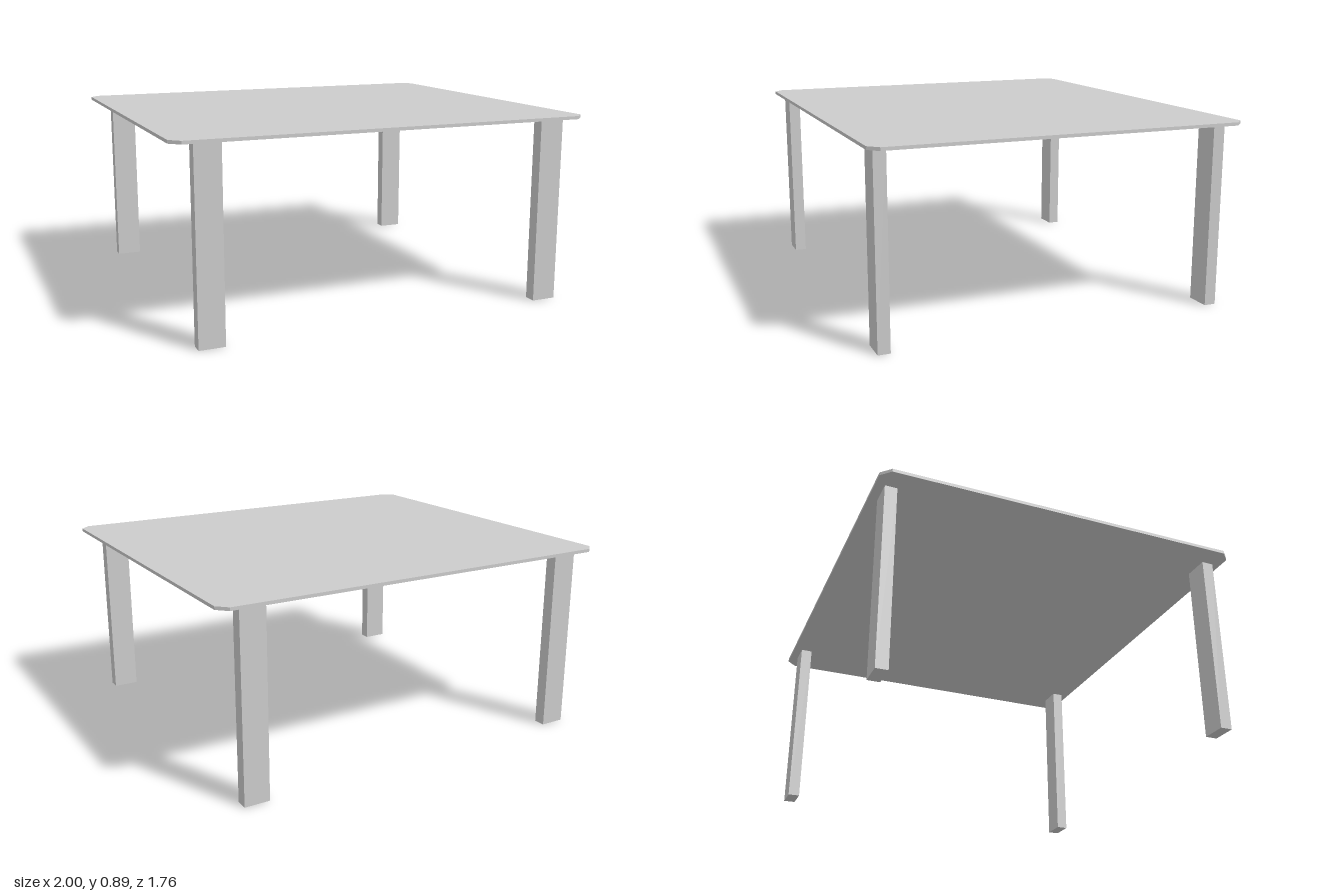
import * as THREE from 'three';

export function createModel() {
  const group = new THREE.Group();
  const material = new THREE.MeshStandardMaterial({ color: 0xcccccc, flatShading: true });

  const halfX = 1, halfZ = 0.88, chamfer = 0.045;
  const topY = 0.895, legHeight = 0.88;

  // Thin tabletop with chamfered corners
  const outline = new THREE.Shape([
    [halfX, -halfZ + chamfer], [halfX, halfZ - chamfer],
    [halfX - chamfer, halfZ], [-halfX + chamfer, halfZ],
    [-halfX, halfZ - chamfer], [-halfX, -halfZ + chamfer],
    [-halfX + chamfer, -halfZ], [halfX - chamfer, -halfZ],
  ].map(([x, y]) => new THREE.Vector2(x, y)));
  const topGeometry = new THREE.ExtrudeGeometry(outline, { depth: topY - legHeight, bevelEnabled: false });
  topGeometry.rotateX(-Math.PI / 2);
  const top = new THREE.Mesh(topGeometry, material);
  top.name = 'tabletop';
  top.position.y = legHeight;
  group.add(top);

  // Four rectangular legs, wider across the front
  const legGeometry = new THREE.BoxGeometry(0.12, legHeight, 0.057);
  for (const [sx, side] of [[1, 'Left'], [-1, 'Right']]) {
    for (const [sz, end] of [[1, 'front'], [-1, 'back']]) {
      const leg = new THREE.Mesh(legGeometry, material);
      leg.name = `${end}${side}Leg`;
      leg.position.set(sx * 0.837, legHeight / 2, sz * 0.81);
      group.add(leg);
    }
  }
  return group;
}
